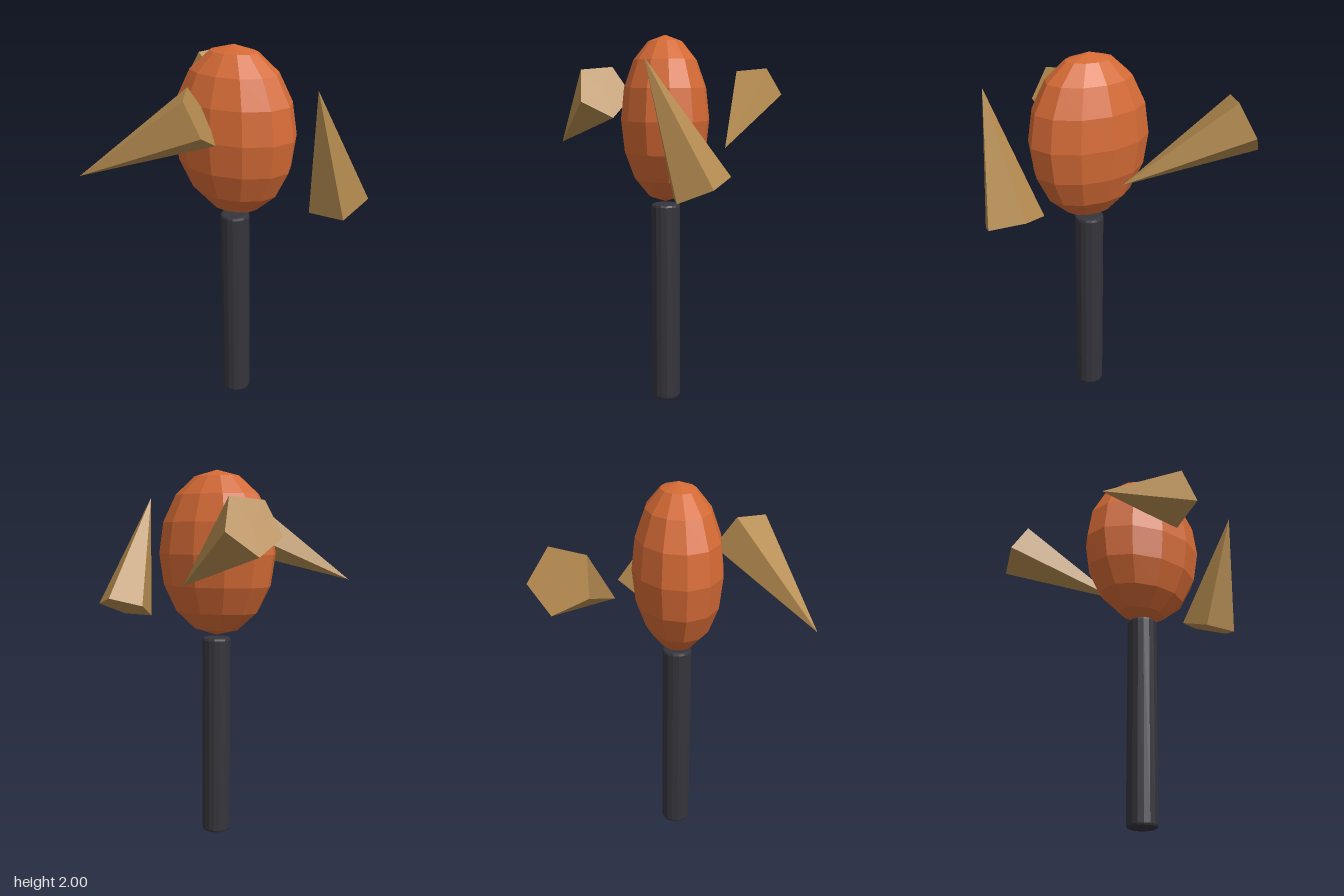
import * as THREE from 'three';

const mat = (name, color) => {
  const m = new THREE.MeshStandardMaterial({ color, flatShading: true });
  m.name = name;
  return m;
};

export function createModel() {
  const orange = mat('burnt orange', 0xd46a35);
  const tan = mat('horn tan', 0xb58b50);
  const dark = mat('charcoal', 0x35343b);
  const model = new THREE.Group();
  model.name = 'spikedMace';
  const add = (name, geometry, material, x, y, z) => {
    const mesh = new THREE.Mesh(geometry, material);
    mesh.name = name;
    mesh.position.set(x, y, z);
    model.add(mesh);
    return mesh;
  };
  const cx = -0.027, cy = 1.56, cz = 0.07; // centre of the head

  // Faceted egg-shaped head
  const egg = new THREE.SphereGeometry(1, 12, 8).scale(0.34, 0.44, 0.236);
  add('head', egg, orange, cx, cy, cz);

  // Round handle with softened rims
  const r = 0.079, h = 1.107;
  const profile = [[0, 0], [r - 0.014, 0], [r - 0.004, 0.004], [r, 0.014],
    [r, h - 0.014], [r - 0.004, h - 0.004], [r - 0.014, h], [0, h]]
    .map(([x, y]) => new THREE.Vector2(x, y));
  add('handle', new THREE.LatheGeometry(profile, 16), dark, cx, 0, cz);

  // Three five-sided spikes spaced evenly around the head, each tilted forward
  const cone = new THREE.ConeGeometry(0.16, 0.67, 5).rotateY(Math.PI);
  const reach = 0.523;
  [['leftSpike', 0, 0], ['frontSpike', 1, 1], ['backSpike', -1, -1]].forEach(([name, side, roll]) => {
    const a = side * Math.PI * 2 / 3;
    const spike = add(name, cone, tan, cx + reach * Math.cos(a), cy, cz + reach * Math.sin(a));
    spike.rotation.set(0.4, 0, roll * Math.PI * 2 / 3, 'ZYX');
  });
  return model;
}
